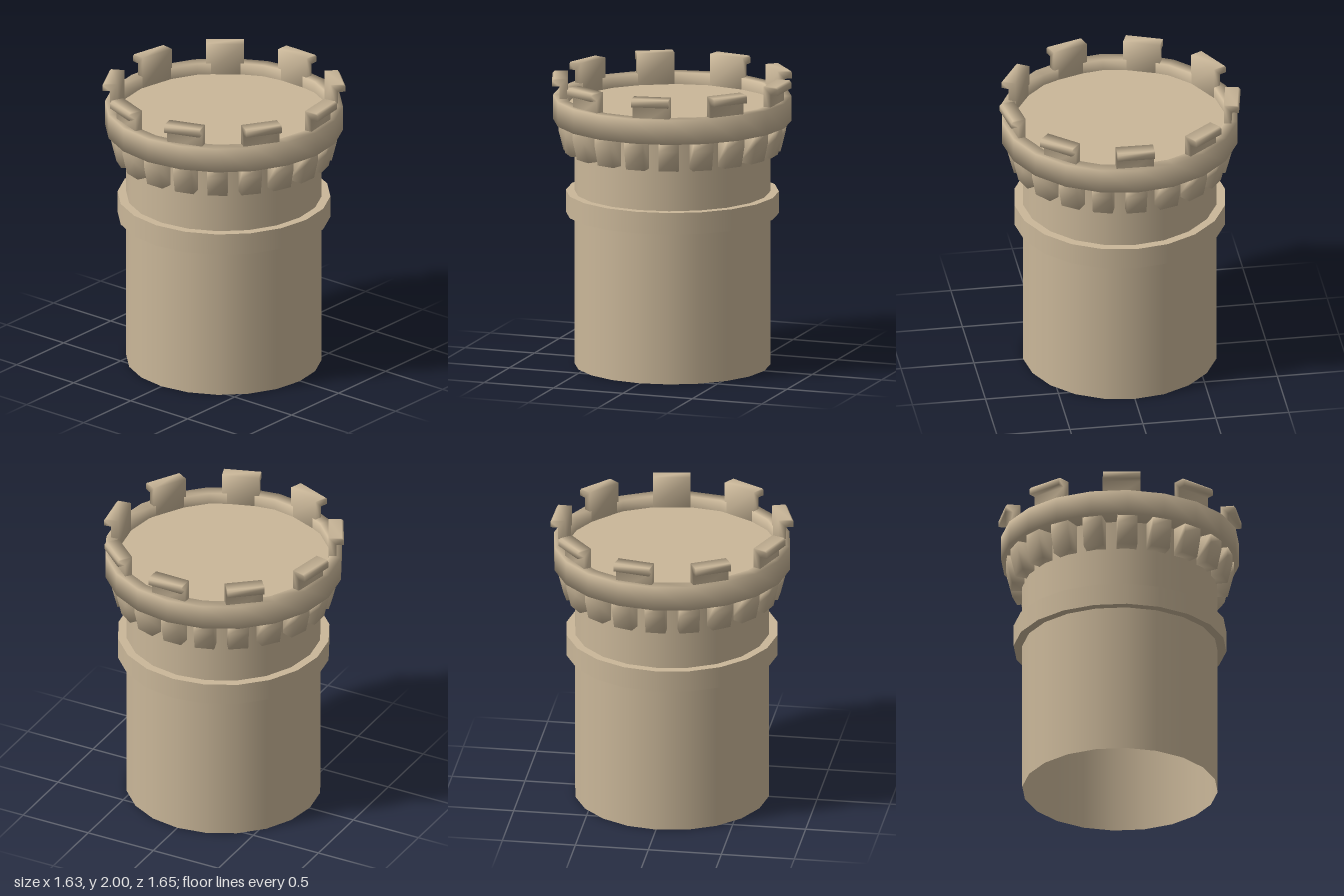
import * as THREE from 'three';
import { mergeVertices } from 'three/addons/utils/BufferGeometryUtils.js';

const SIDES = 20;

// Extrudes an (outward, up) profile to a centred width, facing +z, with normals shared across edges
function softBlock(profile, width) {
  const shape = new THREE.Shape(profile.map(([r, y]) => new THREE.Vector2(r, y)));
  let geo = new THREE.ExtrudeGeometry(shape, { depth: width, bevelEnabled: false });
  geo.translate(0, 0, -width / 2);
  geo.rotateY(-Math.PI / 2);
  geo.deleteAttribute('uv');
  geo.deleteAttribute('normal');
  geo = mergeVertices(geo, 1e-4);
  geo.computeVertexNormals();
  return geo;
}

export function createModel() {
  const stone = new THREE.MeshStandardMaterial({ color: 0xcab799, side: THREE.DoubleSide });
  stone.name = 'sandstone';

  const model = new THREE.Group();
  model.name = 'tower';
  const tower = new THREE.Group();
  tower.name = 'towerParts';
  tower.position.x = -0.007;
  model.add(tower);

  const add = (name, geometry, parent = tower) => {
    const mesh = new THREE.Mesh(geometry, stone);
    mesh.name = name;
    parent.add(mesh);
    return mesh;
  };

  // Hollow shaft, open at the bottom
  add('shaft', new THREE.CylinderGeometry(0.663, 0.663, 1.78, SIDES, 1, true)).position.y = 0.89;

  // Square-edged collar around the shaft
  const collar = new THREE.Group();
  collar.name = 'collar';
  tower.add(collar);
  add('collarSide', new THREE.CylinderGeometry(0.722, 0.722, 0.15, SIDES, 1, true), collar).position.y = 1.125;
  for (const [name, y, turn] of [['collarTop', 1.2, -1], ['collarUnderside', 1.05, 1]]) {
    const ring = add(name, new THREE.RingGeometry(0.663, 0.722, SIDES), collar);
    ring.rotation.x = turn * Math.PI / 2;
    ring.position.y = y;
  }

  // Parapet ring with soft shading, and the roof floor sunk inside it
  const rim = [[0.663, 1.69], [0.807, 1.69], [0.807, 1.86], [0.725, 1.86], [0.725, 1.78]];
  add('parapetRing', new THREE.LatheGeometry(rim.map(([r, y]) => new THREE.Vector2(r, y)), SIDES));
  const floor = add('roofFloor', new THREE.CircleGeometry(0.725, SIDES));
  floor.rotation.x = -Math.PI / 2;
  floor.position.y = 1.78;

  // Corbels under the parapet
  const corbelGeo = softBlock([[0.63, 1.49], [0.735, 1.49], [0.77, 1.63], [0.77, 1.695], [0.63, 1.695]], 0.135);
  for (let i = 0; i < SIDES; i++) {
    add('corbel', corbelGeo).rotation.y = (i / SIDES) * Math.PI * 2;
  }

  // Nine merlons, each with a cap overhanging outward
  const merlonGeo = softBlock([
    [0.71, 1.78], [0.762, 1.78], [0.762, 1.945], [0.813, 1.945], [0.813, 1.985], [0.8, 2], [0.71, 2],
  ], 0.255);
  for (let i = 0; i < 9; i++) {
    add('merlon', merlonGeo).rotation.y = THREE.MathUtils.degToRad(89 - i * 40);
  }

  return model;
}
